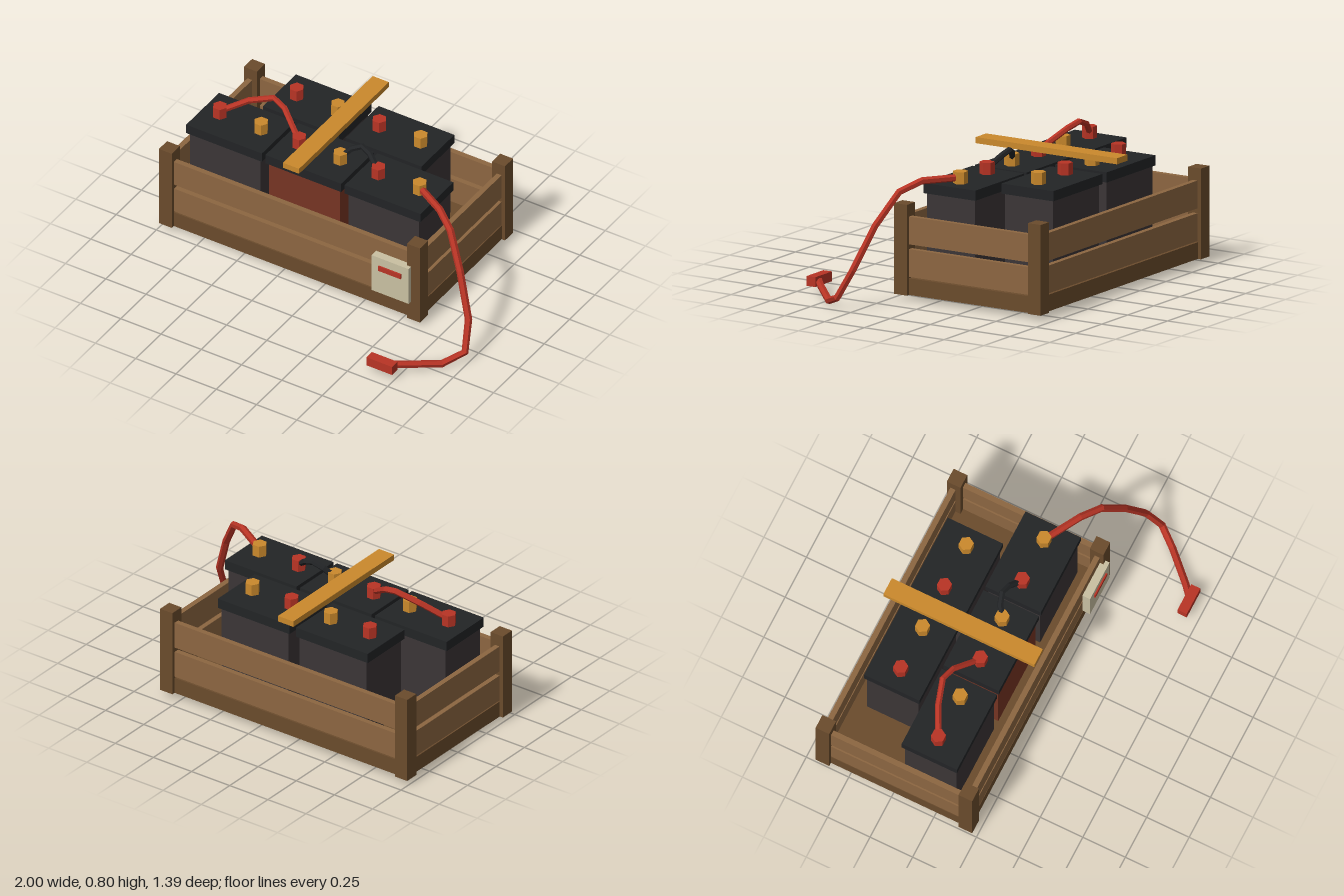
import * as THREE from 'three';

// Curve that samples exactly at its corner points
class Polyline extends THREE.Curve {
  constructor(pts) {
    super();
    this.pts = pts.map((p) => new THREE.Vector3(...p));
  }
  getUtoTmapping(u) { return u; }
  getPoint(t, target = new THREE.Vector3()) {
    const n = this.pts.length - 1;
    const i = Math.min(Math.floor(t * n + 1e-9), n - 1);
    return target.lerpVectors(this.pts[i], this.pts[i + 1], t * n - i);
  }
}

export function createModel() {
  const model = new THREE.Group();
  model.name = 'batteryCrate';

  const mat = (name, color) => {
    const m = new THREE.MeshStandardMaterial({ color, flatShading: true });
    m.name = name;
    return m;
  };
  const darkWood = mat('dark wood', 0x6a4b2c);
  const lightWood = mat('light wood', 0x8c6641);
  const casing = mat('grey casing', 0x3b3536);
  const rustCasing = mat('rust casing', 0x763423);
  const black = mat('black', 0x222426);
  const red = mat('red', 0xb83425);
  const brass = mat('brass', 0xca892c);
  const cream = mat('cream', 0xc9c0a2);

  const add = (parent, name, geo, material, x, y, z) => {
    const mesh = new THREE.Mesh(geo, material);
    mesh.name = name;
    mesh.position.set(x, y, z);
    parent.add(mesh);
    return mesh;
  };
  const box = (parent, name, material, w, h, d, x, y, z) =>
    add(parent, name, new THREE.BoxGeometry(w, h, d), material, x, y, z);

  // Crate: floor, corner posts and two rows of slats on each side
  const crate = new THREE.Group();
  crate.name = 'crate';
  crate.position.set(-0.19, 0, -0.235);
  model.add(crate);
  box(crate, 'floor', darkWood, 1.58, 0.09, 0.88, 0, 0.075, 0);
  for (const sx of [-1, 1]) {
    for (const sz of [-1, 1]) {
      box(crate, 'cornerPost', darkWood, 0.08, 0.49, 0.08, sx * 0.77, 0.275, sz * 0.42);
    }
  }
  for (const y of [0.202, 0.378]) {
    for (const s of [-1, 1]) {
      box(crate, 'longSlat', lightWood, 1.5, 0.15, 0.03, 0, y, s * 0.424);
      box(crate, 'endSlat', lightWood, 0.03, 0.15, 0.8, s * 0.774, y, 0);
    }
  }

  // Batteries: casing, lid and a red and a brass terminal
  const terminalGeo = new THREE.CylinderGeometry(0.04, 0.04, 0.065, 6);
  terminalGeo.rotateY(Math.PI / 6);
  const battery = (x, z, bodyMat) => {
    const g = new THREE.Group();
    g.name = 'battery';
    g.position.set(x, 0, z);
    box(g, 'casing', bodyMat, 0.44, 0.455, 0.302, 0, 0.3475, 0);
    box(g, 'lid', black, 0.47, 0.055, 0.325, 0, 0.6025, 0);
    add(g, 'redTerminal', terminalGeo, red, -0.128, 0.6625, 0);
    add(g, 'brassTerminal', terminalGeo, brass, 0.128, 0.6625, 0);
    model.add(g);
  };
  battery(-0.679, -0.07, casing);
  battery(-0.187, -0.07, rustCasing);
  battery(0.305, -0.07, casing);
  battery(-0.422, -0.42, casing);
  battery(0.091, -0.42, casing);

  // Bar lying across the terminals
  box(model, 'crossBar', brass, 0.1, 0.033, 0.887, -0.19, 0.7115, -0.234);

  // Tag with a red mark on the front slats
  box(model, 'tag', cream, 0.23, 0.23, 0.045, 0.45, 0.262, 0.227);
  box(model, 'tagMark', red, 0.14, 0.03, 0.009, 0.45, 0.312, 0.2535);

  // Cables
  const cable = (name, material, r, pts) => {
    const geo = new THREE.TubeGeometry(new Polyline(pts), pts.length - 1, r, 6);
    add(model, name, geo, material, 0, 0, 0);
  };
  cable('redJumper', red, 0.017, [
    [-0.807, 0.66, -0.07], [-0.67, 0.74, -0.14], [-0.54, 0.784, -0.178],
    [-0.46, 0.76, -0.158], [-0.316, 0.66, -0.07],
  ]);
  cable('blackJumper', black, 0.017, [
    [-0.059, 0.66, -0.07], [-0.01, 0.712, -0.105], [0.045, 0.738, -0.122],
    [0.1, 0.717, -0.11], [0.176, 0.66, -0.07],
  ]);
  cable('looseCable', red, 0.02, [
    [0.433, 0.66, -0.07], [0.63, 0.665, 0.045], [0.74, 0.618, 0.115],
    [0.85, 0.445, 0.195], [0.95, 0.215, 0.27], [0.978, 0.062, 0.35],
    [0.9, 0.02, 0.452], [0.74, 0.052, 0.61], [0.68, 0.063, 0.66],
  ]);

  // Plug at the loose end
  box(model, 'plug', red, 0.16, 0.053, 0.054, 0.662, 0.063, 0.667);

  return model;
}
